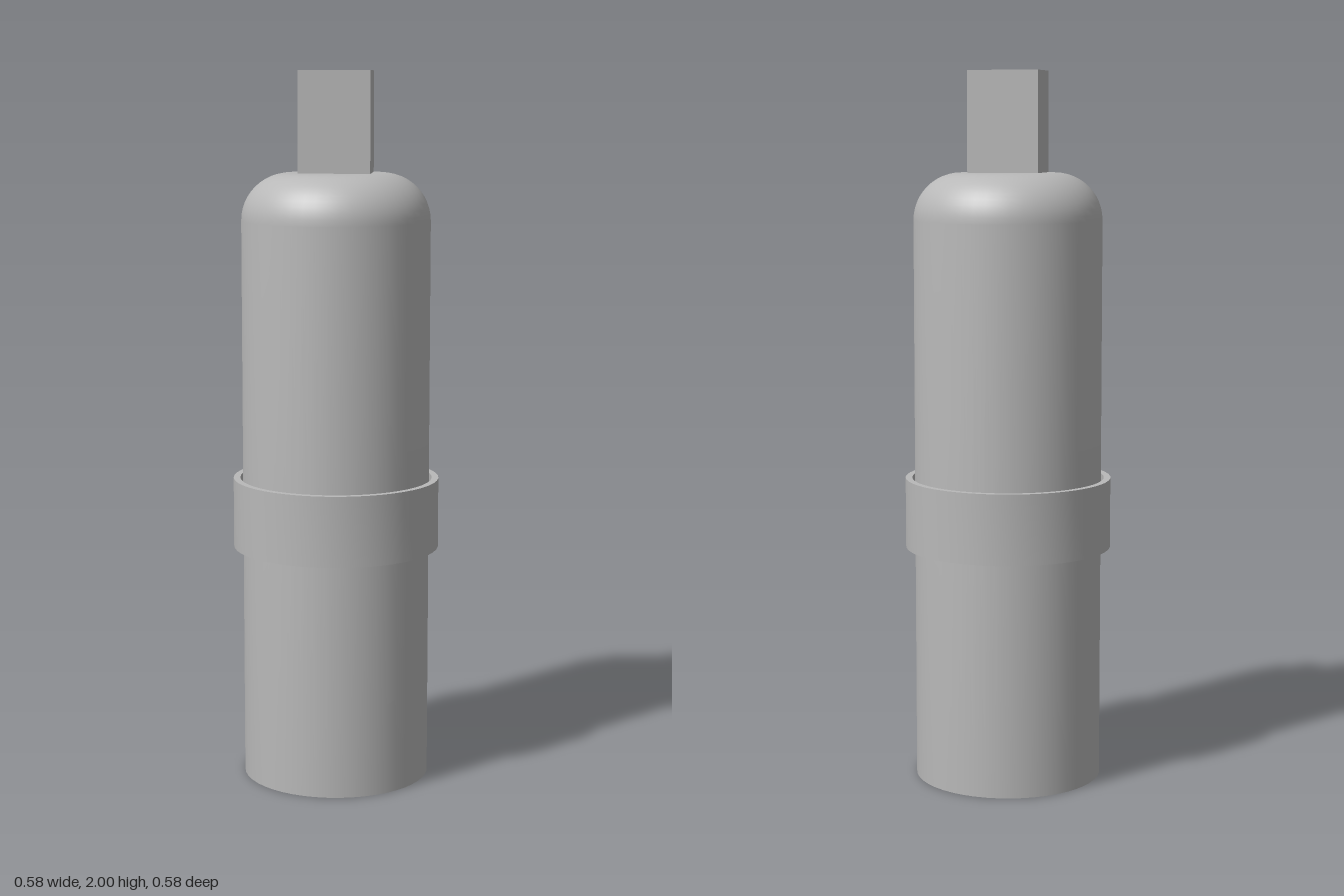
import * as THREE from 'three';
import { toCreasedNormals } from 'three/addons/utils/BufferGeometryUtils.js';

const grey = new THREE.MeshStandardMaterial({ color: 0xb8b8b8 });
grey.name = 'grey';

// Revolve a profile, keeping its sharp corners crisp
function turned(name, profile) {
  const points = profile.map(([r, y]) => new THREE.Vector2(r, y));
  const geometry = toCreasedNormals(new THREE.LatheGeometry(points, 48), 0.6);
  const mesh = new THREE.Mesh(geometry, grey);
  mesh.name = name;
  return mesh;
}

export function createModel() {
  const model = new THREE.Group();
  model.name = 'cylinderWithCollar';

  // Tall body with a flat base and a rounded shoulder
  const radius = 0.264, top = 1.72, fillet = 0.132, steps = 12;
  const profile = [[0, 0], [radius, 0]];
  for (let i = 0; i <= steps; i++) {
    const a = (i / steps) * Math.PI / 2;
    profile.push([radius - fillet + fillet * Math.cos(a), top - fillet + fillet * Math.sin(a)]);
  }
  profile.push([0, top]);
  model.add(turned('body', profile));

  // Loose collar with a narrow gap around the body
  const inner = 0.272, outer = 0.291, low = 0.664, high = 0.862;
  model.add(turned('collar', [[inner, low], [outer, low], [outer, high], [inner, high], [inner, low]]));

  // Rectangular block on top
  const block = new THREE.Mesh(new THREE.BoxGeometry(0.2, 2 - top, 0.132), grey);
  block.name = 'topBlock';
  block.position.y = (2 + top) / 2;
  model.add(block);

  return model;
}
